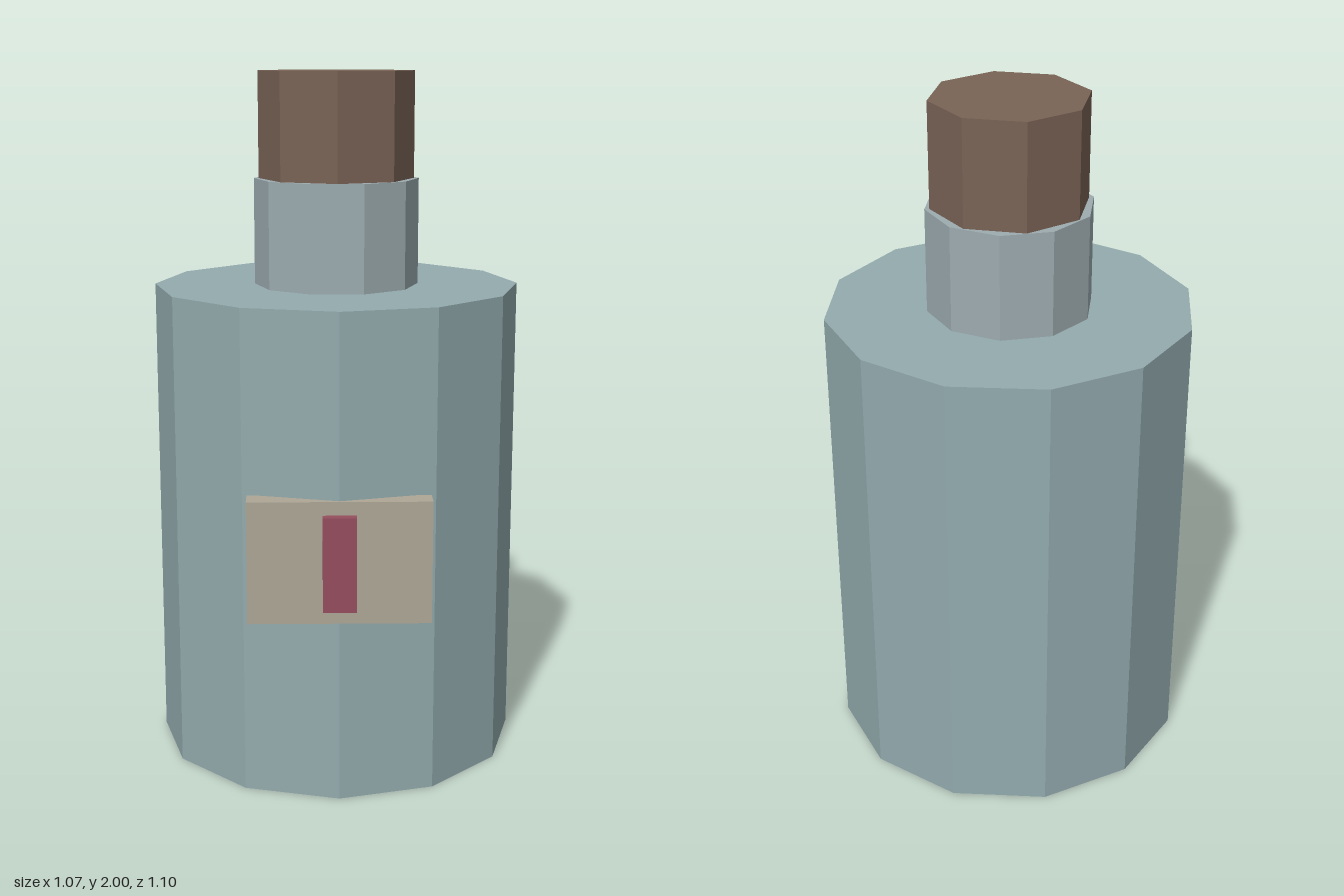
import * as THREE from 'three';

export function createModel() {
  const model = new THREE.Group();
  model.name = 'bottle';
  const axisZ = -0.018;

  function add(name, geometry, color, x, y, z) {
    const material = new THREE.MeshStandardMaterial({ color, flatShading: true });
    const mesh = new THREE.Mesh(geometry, material);
    mesh.name = name;
    mesh.position.set(x, y, z);
    model.add(mesh);
  }

  // Faceted prism between two heights, with a corner on the x axis
  function prism(name, radius, sides, y0, y1, color) {
    const geometry = new THREE.CylinderGeometry(radius, radius, y1 - y0, sides, 1, false, Math.PI / 2);
    add(name, geometry, color, 0, (y0 + y1) / 2, axisZ);
  }

  // Upright plate between two heights and two depths
  function plate(name, width, y0, y1, z0, z1, color) {
    const geometry = new THREE.BoxGeometry(width, y1 - y0, z1 - z0);
    add(name, geometry, color, 0, (y0 + y1) / 2, (z0 + z1) / 2);
  }

  // Bottle and stopper
  prism('body', 0.533, 12, 0, 1.386, 0x93abae);
  prism('neck', 0.24, 10, 1.386, 1.694, 0x9dacb0);
  prism('stopper', 0.226, 8, 1.694, 2, 0x7a6356);

  // Label with its raised stripe
  plate('label', 0.506, 0.524, 0.87, 0.455, 0.523, 0xaea797);
  plate('labelStripe', 0.092, 0.565, 0.832, 0.523, 0.551, 0x964d5e);

  return model;
}
